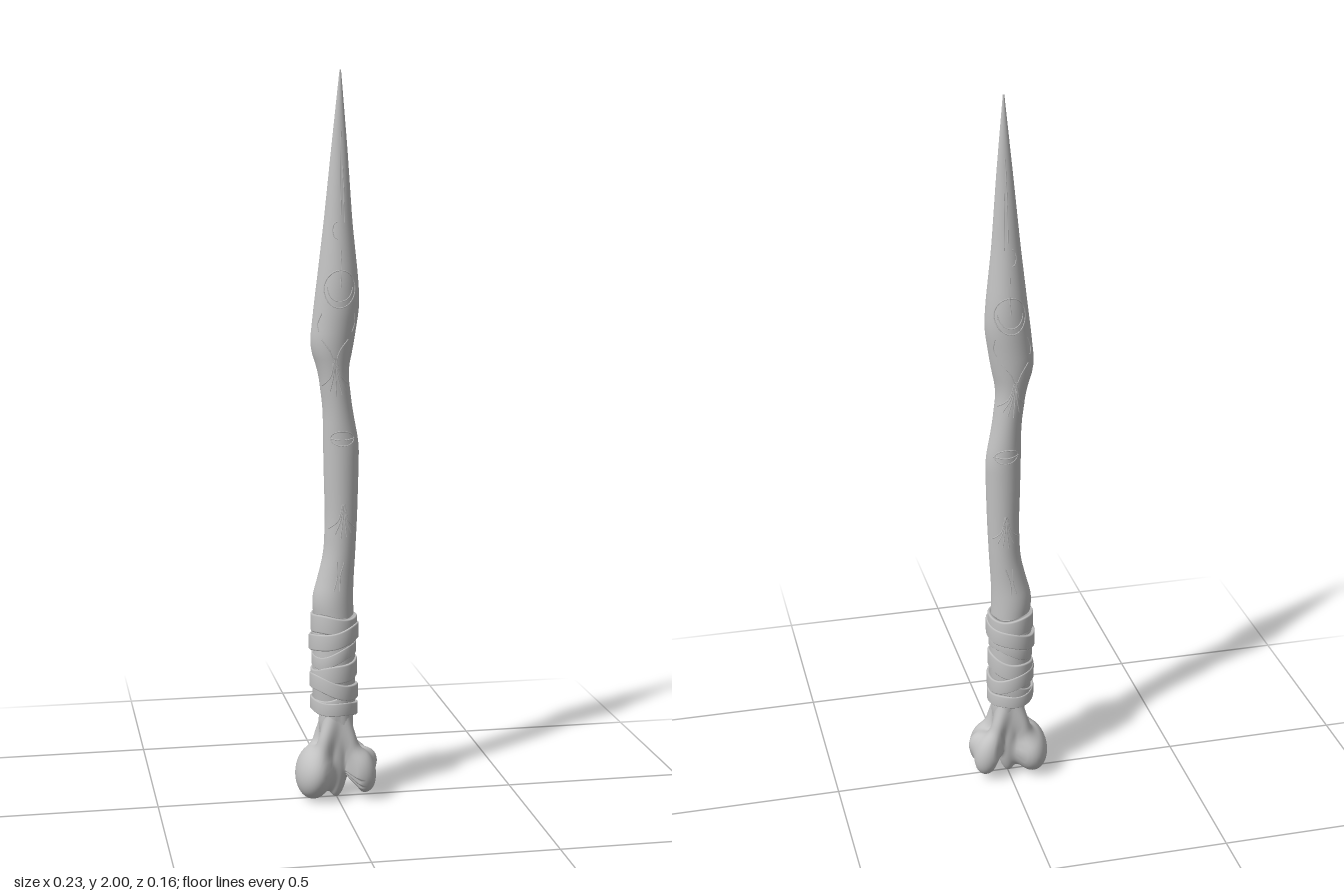
import * as THREE from 'three';

const bone = new THREE.MeshStandardMaterial({ color: 0xc2c2c2 });
bone.name = 'bone';

// Shaft stations: height, left edge, right edge, half depth
const stations = [
  [0.16, -0.04, 0.038, 0.045], [0.2, -0.052, 0.048, 0.054], [0.27, -0.047, 0.043, 0.053],
  [0.5, -0.06, 0.048, 0.05], [0.57, -0.071, 0.046, 0.05], [0.62, -0.056, 0.047, 0.043],
  [0.7, -0.036, 0.052, 0.039], [0.8, -0.032, 0.057, 0.038], [0.9, -0.035, 0.06, 0.039],
  [1.0, -0.037, 0.062, 0.04], [1.1, -0.038, 0.043, 0.04], [1.2, -0.051, 0.031, 0.043],
  [1.27, -0.074, 0.046, 0.049], [1.38, -0.062, 0.063, 0.052], [1.45, -0.053, 0.059, 0.05],
  [1.6, -0.035, 0.043, 0.033], [1.8, -0.014, 0.029, 0.015], [2.0, 0.008, 0.012, 0.002],
];
const BASE = stations[0][0];
const EDGE = 1.2; // above 1 pinches the sides into a soft edge

function lerpStation(y) {
  let i = 0;
  while (i < stations.length - 2 && y > stations[i + 1][0]) i++;
  const a = stations[i], b = stations[i + 1];
  const t = THREE.MathUtils.clamp((y - a[0]) / (b[0] - a[0]), 0, 1);
  return [1, 2, 3].map((k) => a[k] + (b[k] - a[k]) * t);
}

// Smoothed section at a height
function section(y) {
  const d = Math.min(0.022, Math.max(0, y - BASE), Math.max(0, 2 - y));
  const s = [y - d, y, y + d].map(lerpStation);
  const [l, r, rz] = [0, 1, 2].map((k) => (s[0][k] + s[1][k] + s[2][k]) / 3);
  return { cx: (l + r) / 2, rx: (r - l) / 2, rz };
}

// Grid surface, closed around u; optionally closed along v
function loft(nu, nv, point, closedV = false) {
  const pos = [], idx = [];
  for (let j = 0; j < nv; j++)
    for (let i = 0; i < nu; i++) pos.push(...point((i / nu) * Math.PI * 2, j));
  for (let j = 0; j < (closedV ? nv : nv - 1); j++)
    for (let i = 0; i < nu; i++) {
      const a = j * nu + i, b = j * nu + ((i + 1) % nu);
      const c = ((j + 1) % nv) * nu + i, d = ((j + 1) % nv) * nu + ((i + 1) % nu);
      idx.push(a, c, b, b, c, d);
    }
  const g = new THREE.BufferGeometry();
  g.setAttribute('position', new THREE.Float32BufferAttribute(pos, 3));
  g.setIndex(idx);
  g.computeVertexNormals();
  return g;
}

// Joint lobes that melt together: centre, radii, tilt about z
const lobes = [
  [[-0.002, 0.2, 0], [0.043, 0.2, 0.046], 0], // neck
  [[-0.063, 0.077, 0], [0.052, 0.076, 0.08], -0.15], // broad right knob
  [[0.08, 0.098, 0], [0.035, 0.04, 0.024], 0], // spur
];
for (const s of [1, -1]) {
  lobes.push([[0.066, 0.083, 0.034 * s], [0.038, 0.064, 0.038], 0.2]); // paired left knobs
  lobes.push([[-0.04, 0.16, 0.032 * s], [0.02, 0.085, 0.023], -0.25]);
  lobes.push([[0.037, 0.16, 0.03 * s], [0.018, 0.08, 0.022], 0.25]);
}

// Smooth union of the lobes, negative inside
function jointField(x, y, z) {
  const k = 0.018;
  return lobes.reduce((f, [c, r, tilt]) => {
    const px = x - c[0], py = y - c[1];
    const co = Math.cos(tilt), si = Math.sin(tilt);
    const d = (Math.hypot((px * co + py * si) / r[0], (py * co - px * si) / r[1], (z - c[2]) / r[2]) - 1)
      * Math.min(...r);
    const h = Math.max(k - Math.abs(f - d), 0) / k;
    return Math.min(f, d) - h * h * k * 0.25;
  }, 1);
}

export function createModel() {
  const root = new THREE.Group();
  root.name = 'boneDagger';
  const add = (name, geo, parent = root) => {
    const m = new THREE.Mesh(geo, bone);
    m.name = name;
    parent.add(m);
  };

  // Crooked shaft and blade, grooved front and back near the joint
  const rows = 160;
  add('shaft', loft(40, rows, (a, j) => {
    const y = BASE + (j / (rows - 1)) * (2 - BASE);
    const { cx, rx, rz } = section(y);
    const c = Math.cos(a), s = Math.sin(a);
    const k = THREE.MathUtils.clamp((0.3 - y) / 0.15, 0, 1);
    const groove = 1 - 0.25 * k * Math.exp(-((c / 0.3) ** 2));
    return [cx + rx * c, y, rz * Math.sign(s) * Math.abs(s) ** EDGE * groove];
  }));

  // Knobbed joint: rays from its middle out to the surface of the lobes
  const bands = 72, middle = 0.1;
  add('joint', loft(72, bands, (a, j) => {
    const v = -Math.PI / 2 + (j / (bands - 1)) * Math.PI;
    const dx = Math.cos(v) * Math.cos(a), dy = Math.sin(v), dz = Math.cos(v) * Math.sin(a);
    const f = (t) => jointField(dx * t, middle + dy * t, dz * t);
    let lo = 0.02;
    while (lo < 0.19 && f(lo + 0.004) < 0) lo += 0.004;
    let hi = lo + 0.004;
    for (let i = 0; i < 8; i++) {
      const mid = (lo + hi) / 2;
      if (f(mid) < 0) lo = mid;
      else hi = mid;
    }
    return [dx * lo, middle + dy * lo, dz * lo];
  }));

  // Wrapped grip: flat tilted straps over a tapered core
  const grip = new THREE.Group();
  grip.name = 'gripWrap';
  root.add(grip);
  const core = [[0.245, 0.035], [0.258, 0.063], [0.4, 0.063], [0.512, 0.065], [0.53, 0.04]];
  add('gripCore', loft(40, core.length, (a, j) =>
    [-0.008 + 0.93 * core[j][1] * Math.cos(a), core[j][0], core[j][1] * Math.sin(a)]), grip);
  const profile = [[0, -0.5], [0.8, -0.5], [1, -0.42], [1, 0.42], [0.8, 0.5], [0, 0.5]];
  const strap = (y0, height, slopeX, slopeZ, radius) => {
    add('strap', loft(48, profile.length, (a, j) => {
      const [out, up] = profile[j];
      const c = Math.cos(a), s = Math.sin(a), r = radius - 0.014 * (1 - out);
      const y = y0 + height * up + slopeX * c + slopeZ * s + 0.003 * Math.sin(3 * a + y0 * 40);
      return [-0.008 + r * 0.92 * c, y, r * s];
    }, true), grip);
  };
  [
    [0.503, 0.05, -0.005, 0, 0.07], [0.465, 0.045, 0.016, 0.004, 0.075],
    [0.42, 0.034, 0.022, -0.006, 0.067], [0.365, 0.05, 0.014, 0.003, 0.07],
    [0.325, 0.042, -0.018, 0, 0.073], [0.29, 0.036, 0.018, -0.004, 0.069],
    [0.268, 0.036, -0.006, 0.002, 0.072],
  ].forEach((s) => strap(...s));

  // Fine lines laid along the front and back surfaces
  const etching = new THREE.Group();
  etching.name = 'etching';
  root.add(etching);
  const etch = (name, pts, closed = false) => {
    const flat = new THREE.CatmullRomCurve3(pts.map(([x, y]) => new THREE.Vector3(x, y, 0)), closed);
    const samples = flat.getPoints(24).slice(0, closed ? 24 : 25);
    for (const side of [1, -1]) {
      const path = samples.map(({ x, y }) => {
        const { cx, rx, rz } = section(y);
        const t = THREE.MathUtils.clamp(x / rx, -0.95, 0.95);
        return new THREE.Vector3(cx + t * rx, y, side * rz * (1 - t * t) ** (EDGE / 2));
      });
      const curve = new THREE.CatmullRomCurve3(path, closed);
      add(name, new THREE.TubeGeometry(curve, 32, 0.0016, 5, closed), etching);
    }
  };
  const arc = (x, y, rx, ry, from, to, n = 12) => Array.from({ length: n }, (_, i) => {
    const a = from + ((to - from) * i) / (n - 1);
    return [x + rx * Math.cos(a), y + ry * Math.sin(a)];
  });
  // Emblem ring with an inner crescent and a spike
  etch('ring', arc(0, 1.425, 0.042, 0.05, 0, Math.PI * 1.83), true);
  etch('crescent', arc(0, 1.43, 0.034, 0.038, Math.PI, Math.PI * 2));
  etch('spike', [[0, 1.43], [0.002, 1.48], [0, 1.53]]);
  etch('smallCrescent', arc(-0.008, 1.58, 0.012, 0.022, Math.PI * 0.5, Math.PI * 1.5, 8));
  // Small eye
  etch('eye', arc(0, 1.02, 0.032, 0.02, 0, Math.PI * 1.83), true);
  etch('eyeLine', [[-0.035, 1.02], [0, 1.016], [0.035, 1.02]]);
  // Root-like branches spreading downward
  for (const [y, h] of [[1.24, 0.11], [0.84, 0.1]])
    for (const k of [-1, -0.55, -0.15, 0.3, 0.65, 1])
      etch('branch', [[0.003 * k, y], [0.014 * k, y - h * 0.45], [0.037 * k, y - h * (1 - 0.3 * Math.abs(k))]]);
  for (const s of [-1, 1]) {
    etch('upperBranch', [[0, 1.22], [0.014 * s, 1.26], [0.036 * s, 1.29]]);
    etch('sideMark', [[0.045 * s, 1.31], [0.05 * s, 1.33], [0.044 * s, 1.36]]);
    etch('lowMark', [[0.008 * s, 0.6], [0.004 * s, 0.64], [0.01 * s, 0.68]]);
  }
  // Long scratches up the blade
  etch('scratch', [[0.002, 1.62], [0, 1.72], [0.001, 1.84]]);
  etch('scratch', [[0.012, 1.6], [0.01, 1.68], [0.006, 1.75]]);

  return root;
}
